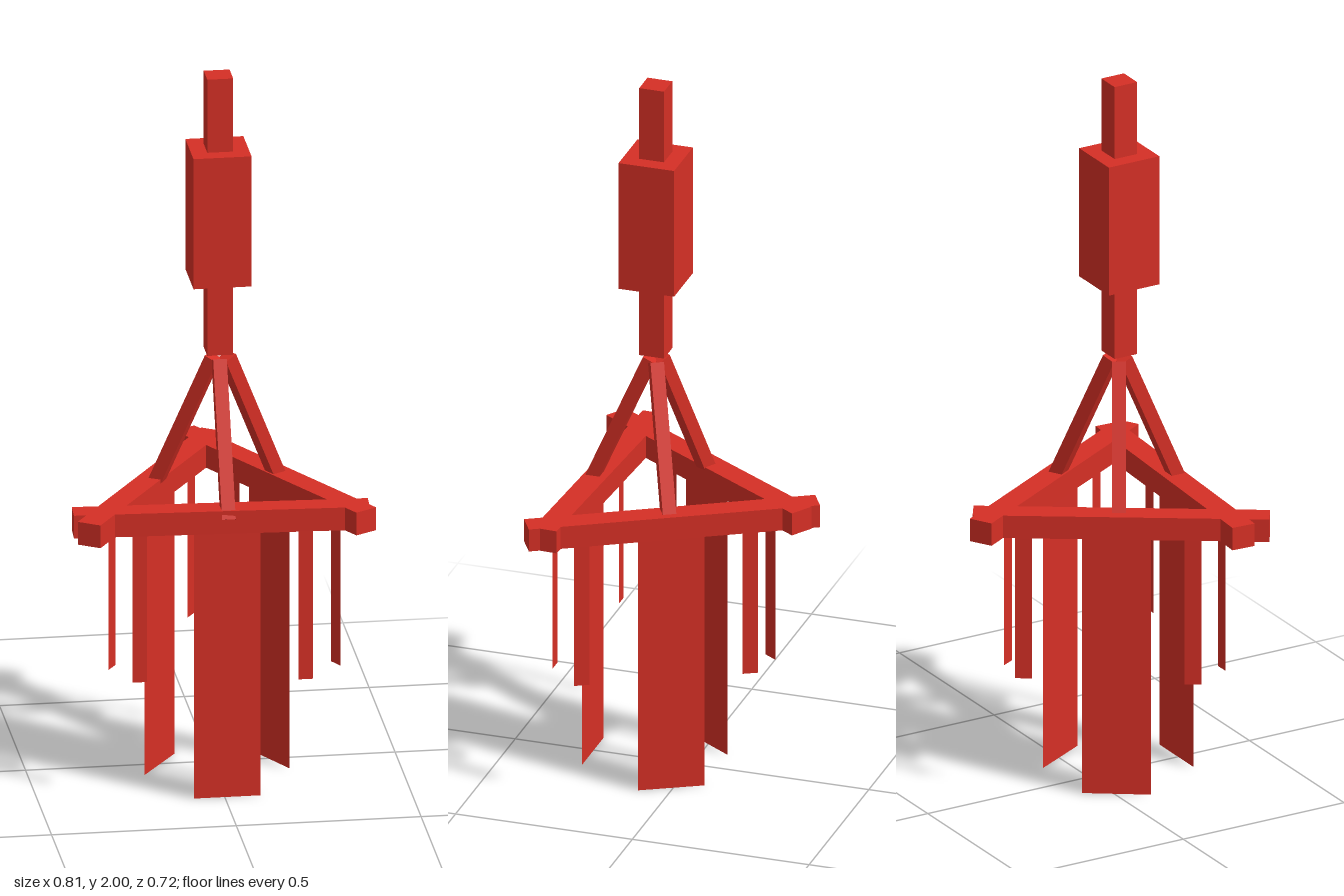
import * as THREE from 'three';

const red = new THREE.MeshStandardMaterial({ color: 0xd52f25, side: THREE.DoubleSide });
red.name = 'red';

export function createModel() {
  const group = new THREE.Group();

  function add(name, geometry, x, y, z, yaw = 0) {
    const mesh = new THREE.Mesh(geometry, red);
    mesh.name = name;
    mesh.position.set(x, y, z);
    mesh.rotation.y = yaw;
    group.add(mesh);
    return mesh;
  }

  // Triangular frame: each beam runs between two points [x, z]
  const beams = [
    ['frontBeam', -0.406, 0.243, 0.389, 0.285],
    ['rightBeam', -0.376, 0.342, 0.053, -0.328],
    ['leftBeam', -0.021, -0.348, 0.374, 0.342],
  ];
  for (const [name, x0, z0, x1, z1] of beams) {
    const length = Math.hypot(x1 - x0, z1 - z0);
    add(name, new THREE.BoxGeometry(length, 0.065, 0.067),
      (x0 + x1) / 2, 0.7925, (z0 + z1) / 2, Math.atan2(z0 - z1, x1 - x0));
  }

  // Sloping struts from the frame up to the mast
  const struts = [
    ['frontStrut', [0.008, 0.795, 0.286], [0.008, 1.19, 0.113]],
    ['rightStrut', [-0.154, 0.795, 0.004], [-0.005, 1.19, 0.091]],
    ['leftStrut', [0.186, 0.795, 0.002], [0.032, 1.19, 0.091]],
  ];
  for (const [name, a, b] of struts) {
    const foot = new THREE.Vector3(...a), head = new THREE.Vector3(...b);
    const along = head.clone().sub(foot);
    const mesh = add(name, new THREE.BoxGeometry(0.037, along.length(), 0.037), 0, 0, 0);
    mesh.position.copy(foot).add(head).multiplyScalar(0.5);
    along.normalize();
    const side = along.clone().cross(new THREE.Vector3(0, 1, 0)).normalize();
    const out = side.clone().cross(along);
    mesh.quaternion.setFromRotationMatrix(new THREE.Matrix4().makeBasis(side, along, out));
  }

  // Mast and the thicker block around it
  add('mast', new THREE.BoxGeometry(0.07, 0.79, 0.07), 0.008, 1.605, 0.1);
  add('mastBlock', new THREE.BoxGeometry(0.157, 0.372, 0.157), 0.008, 1.605, 0.1);

  // Hanging sheets: name, centre x, centre z, width, bottom, direction [dx, dz]
  const front = [1, 0], right = [0.56, -0.83], left = [0.48, 0.877];
  const sheets = [
    ['frontPanel', 0.007, 0.278, 0.18, 0, front],
    ['rightPanel', -0.138, 0.005, 0.185, 0, right],
    ['leftPanel', 0.159, 0.005, 0.181, 0, left],
    ['frontStripLeft', 0.214, 0.315, 0.04, 0.34, front],
    ['frontStripRight', -0.23, 0.278, 0.04, 0.34, front],
    ['rightStripFront', -0.288, 0.155, 0.045, 0.34, right],
    ['rightStripBack', -0.021, -0.215, 0.045, 0.34, right],
    ['leftStripFront', 0.31, 0.207, 0.043, 0.34, left],
    ['leftStripBack', 0.093, -0.196, 0.043, 0.34, left],
  ];
  for (const [name, x, z, width, bottom, [dx, dz]] of sheets) {
    const height = 0.765 - bottom;
    add(name, new THREE.PlaneGeometry(width, height), x, bottom + height / 2, z, Math.atan2(-dz, dx));
  }

  return group;
}
